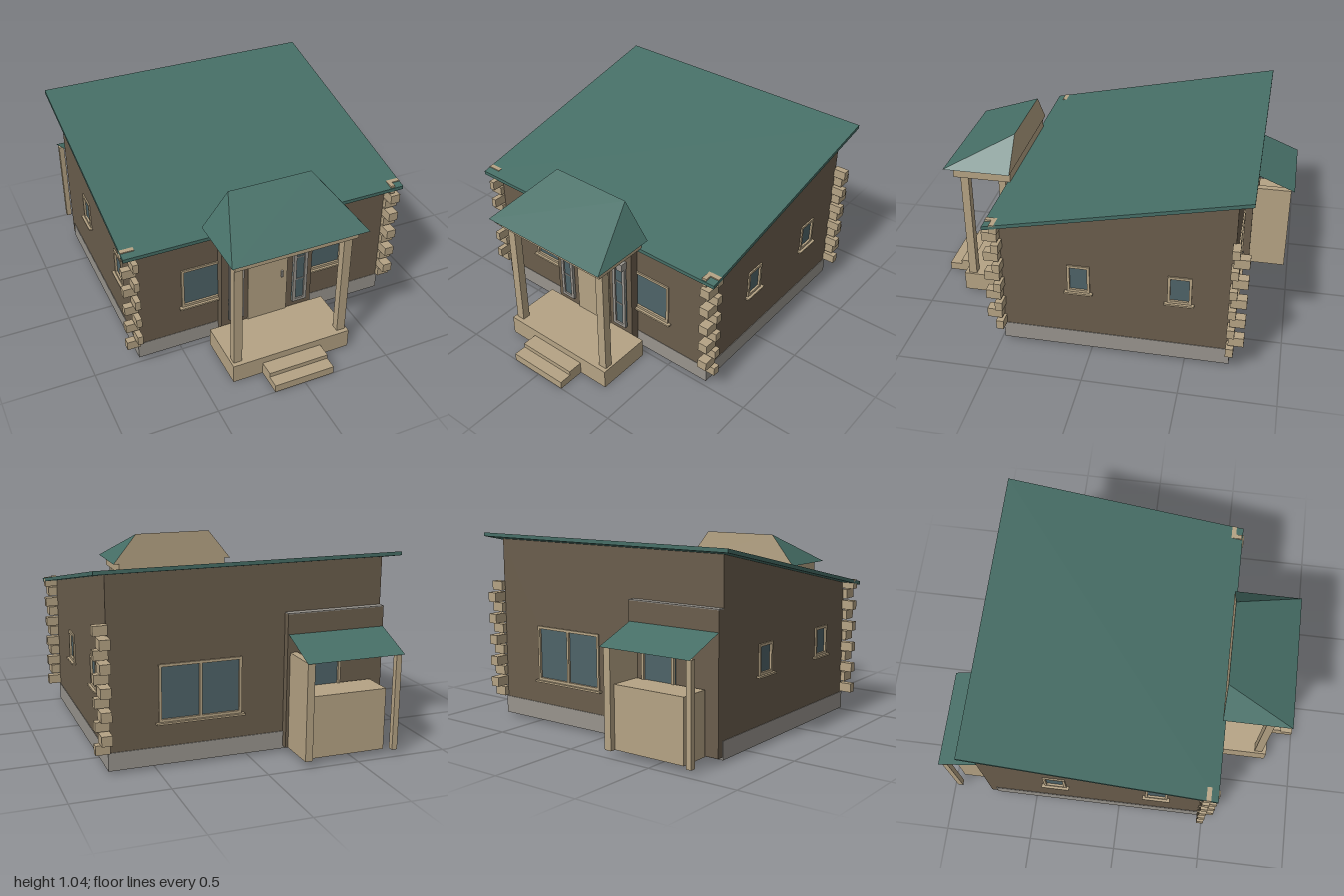
import * as THREE from 'three';

const mat = (name, color, side = THREE.FrontSide) => {
  const m = new THREE.MeshStandardMaterial({ color, side });
  m.name = name;
  return m;
};

export function createModel() {
  const brown = mat('brown wall', 0x6a5d4c);
  const tan = mat('tan timber', 0xb5a384, THREE.DoubleSide);
  const green = mat('green roof', 0x466e66, THREE.DoubleSide);
  const grey = mat('grey stone', 0x98948d);
  const glass = mat('blue glass', 0x4e6368);
  const house = new THREE.Group();
  house.name = 'house';

  const add = (name, geometry, material, parent = house) => {
    const mesh = new THREE.Mesh(geometry, material);
    mesh.name = name;
    parent.add(mesh);
    return mesh;
  };
  // box given by its limits on each axis
  const box = (name, m, x0, x1, y0, y1, z0, z1, parent) => {
    const mesh = add(name, new THREE.BoxGeometry(Math.abs(x1 - x0), y1 - y0, Math.abs(z1 - z0)), m, parent);
    mesh.position.set((x0 + x1) / 2, (y0 + y1) / 2, (z0 + z1) / 2);
    return mesh;
  };
  // flat polygon with corners anticlockwise from outside
  const polygon = (name, m, corners) => {
    const g = new THREE.BufferGeometry();
    const pos = [];
    for (let i = 1; i < corners.length - 1; i++) pos.push(...corners[0], ...corners[i], ...corners[i + 1]);
    g.setAttribute('position', new THREE.Float32BufferAttribute(pos, 3));
    g.computeVertexNormals();
    return add(name, g, m);
  };
  // outline with rectangular holes [a0, a1, y0, y1], extruded
  const slab = (points, holes, depth) => {
    const shape = new THREE.Shape(points.map((p) => new THREE.Vector2(...p)));
    for (const [a, b, c, d] of holes) {
      shape.holes.push(new THREE.Path([[a, c], [a, d], [b, d], [b, c]].map((p) => new THREE.Vector2(...p))));
    }
    return new THREE.ExtrudeGeometry(shape, { depth, bevelEnabled: false });
  };
  // framed window facing +z in its own group
  const windowUnit = (name, [a0, a1, y0, y1], trim, { bar = 0.014, columns = 1, rows = 1, sill = false, out = 0.008 } = {}) => {
    const g = new THREE.Group();
    g.name = name;
    house.add(g);
    box('glass', glass, a0, a1, y0, y1, -0.012, -0.004, g);
    for (const x of [a0, a1 - bar]) box('frameSide', trim, x, x + bar, y0, y1, -0.012, out, g);
    for (const y of [y0, y1 - bar]) box('frameRail', trim, a0 + bar, a1 - bar, y, y + bar, -0.012, out, g);
    for (let i = 1; i < columns; i++) {
      const x = a0 + ((a1 - a0) * i) / columns;
      box('mullion', trim, x - bar / 2, x + bar / 2, y0, y1, -0.012, out, g);
    }
    for (let i = 1; i < rows; i++) {
      const y = y0 + ((y1 - y0) * i) / rows;
      box('glazingBar', trim, a0, a1, y - 0.003, y + 0.003, -0.012, 0, g);
    }
    if (sill) box('sill', trim, a0 - 0.015, a1 + 0.015, y0 - 0.01, y0, -0.005, 0.022, g);
    return g;
  };

  const W = 0.74, F = 0.48, B = -0.73, T = 0.02;
  const roofY = (z) => 0.75 + (0.55 - z) * 0.2126;
  const wallY = (z) => roofY(z) - 0.015;
  const rect = (a, b, c, d) => [[a, c], [b, c], [b, d], [a, d]];

  // Stone base, open below
  for (const s of [-1, 1]) box('foundationSide', grey, s * 0.715, s * 0.743, 0.015, 0.11, B - 0.004, F + 0.002);
  box('foundationFront', grey, -0.715, 0.715, 0.015, 0.11, F - 0.028, F + 0.002);
  box('foundationBack', grey, -0.715, 0.715, 0.015, 0.11, B - 0.004, B + 0.026);

  // Front and back walls with their windows
  const frontHoles = [[-0.485, -0.22, 0.285, 0.53], [0.22, 0.485, 0.285, 0.53]];
  add('frontWall', slab(rect(-W, W, 0.11, wallY(F)), frontHoles, T), brown).position.z = F - T;
  for (const h of frontHoles) windowUnit('frontWindow', h, tan, { sill: true }).position.z = F;
  const backHole = [0.04, 0.48, 0.24, 0.54];
  add('backWall', slab(rect(-W, W, 0.11, wallY(B)), [backHole], T), brown).position.z = B;
  const backWindow = windowUnit('backWindow', [-0.48, -0.04, 0.24, 0.54], tan, { columns: 2, sill: true });
  backWindow.rotation.y = Math.PI;
  backWindow.position.z = B;

  // Sloping side walls, outline drawn along -z
  const sideOutline = [[-F, 0.11], [-B, 0.11], [-B, wallY(B)], [-F, wallY(F)]];
  const sideWindows = { 1: [[-0.125, -0.005], [0.4, 0.525]], '-1': [[-0.28, -0.155], [0.295, 0.42]] };
  for (const s of [-1, 1]) {
    const holes = sideWindows[s].map(([a, b]) => [a, b, 0.37, 0.53]);
    const wall = add('sideWall', slab(sideOutline, holes, T), brown);
    wall.rotation.y = Math.PI / 2;
    wall.position.x = s > 0 ? W - T : -W;
    for (const [a, b, c, d] of holes) {
      const w = windowUnit('sideWindow', s > 0 ? [a, b, c, d] : [-b, -a, c, d], tan, { sill: true });
      w.rotation.y = (s * Math.PI) / 2;
      w.position.x = s * W;
    }
  }

  // Single-pitch main roof
  const zf = 0.545, zb = -0.805;
  const roof = add('mainRoof', slab([[-zf, roofY(zf) - 0.02], [-zb, roofY(zb) - 0.02], [-zb, roofY(zb)], [-zf, roofY(zf)]], [], 1.62), green);
  roof.rotation.y = Math.PI / 2;
  roof.position.x = -0.81;

  // Crossed log ends on three corners
  for (const [sx, sz] of [[1, 1], [-1, 1], [1, -1]]) {
    const corner = sz > 0 ? F : B;
    for (let i = 0; i < 11; i++) {
      const y = 0.115 + i * 0.06;
      if (i % 2 === 0) box('logEndAcross', tan, sx * 0.735, sx * 0.81, y, y + 0.05, corner - sz * 0.015, corner + sz * 0.025);
      else box('logEndAlong', tan, sx * 0.735, sx * (sx > 0 ? 0.79 : 0.765), y, y + 0.052, corner - sz * 0.005, corner + sz * 0.075);
    }
  }
  box('cornerPeg', tan, 0.735, 0.76, 0.715, 0.765, 0.49, 0.54);

  // Entrance bay, door, side lights and lamp
  box('entranceBay', brown, -0.275, 0.27, 0.03, 0.69, F, 0.53);
  box('door', tan, -0.12, 0.115, 0.11, 0.645, 0.53, 0.537);
  box('doorHandle', grey, 0.076, 0.086, 0.352, 0.392, 0.537, 0.55);
  for (const s of [-1, 1]) {
    const light = windowUnit('sideLight', [s * 0.193 - 0.043, s * 0.193 + 0.043, 0.15, 0.605], grey, { bar: 0.018, rows: 3, out: 0.005 });
    light.position.z = 0.543;
  }
  box('wallLamp', grey, 0.2, 0.238, 0.56, 0.605, 0.53, 0.57);

  // Porch deck, open below, with steps
  box('porchDeck', tan, -0.345, 0.345, 0.095, 0.11, 0.53, 0.845);
  box('porchDeckFront', tan, -0.345, 0.345, 0, 0.095, 0.83, 0.845);
  box('porchDeckBack', tan, -0.345, 0.345, 0, 0.095, 0.53, 0.54);
  for (const s of [-1, 1]) {
    box('porchDeckSide', tan, s * 0.33, s * 0.345, 0, 0.095, 0.54, 0.83);
    box('porchPost', tan, s * 0.285, s * 0.333, 0.11, 0.75, 0.775, 0.82);
  }
  box('lowerStep', tan, -0.175, 0.17, 0, 0.045, 0.845, 1);
  box('upperStep', tan, -0.175, 0.17, 0.045, 0.07, 0.845, 0.93);
  box('porchBeam', tan, -0.345, 0.345, 0.75, 0.81, 0.53, 0.855);

  // Hipped porch roof
  const e = 0.81, r = 0.99, hx = 0.38, rx = 0.235, z0 = 0.525, z1 = 0.9;
  polygon('porchRoofFront', green, [[-hx, e, z1], [hx, e, z1], [rx, r, z0], [-rx, r, z0]]);
  polygon('porchRoofLeft', green, [[hx, e, z1], [hx, e, z0], [rx, r, z0]]);
  polygon('porchRoofRight', green, [[-hx, e, z0], [-hx, e, z1], [-rx, r, z0]]);
  polygon('porchRoofSoffit', green, [[-hx, e, z0], [hx, e, z0], [hx, e, z1], [-hx, e, z1]]);
  polygon('porchGable', tan, [[hx, e, z0], [-hx, e, z0], [-rx, r, z0], [rx, r, z0]]);

  // Back bay with stone ledge and window
  box('backBay', brown, -0.74, -0.195, 0.03, 0.745, -0.77, B);
  box('backBayLedge', grey, -0.74, -0.195, 0.745, 0.75, -0.77, B);
  const rear = windowUnit('backBayWindow', [0.29, 0.49, 0.34, 0.53], tan);
  rear.rotation.y = Math.PI;
  rear.position.z = -0.783;

  // Lean-to store behind
  box('storeSidePanel', tan, -0.25, -0.21, 0.03, 0.545, -0.98, -0.77);
  box('storePost', tan, -0.735, -0.705, 0.03, 0.545, -0.98, -0.95);
  box('storeBox', tan, -0.67, -0.25, 0.03, 0.36, -0.95, -0.78);
  polygon('storeRoof', green, [[-0.74, 0.64, -0.77], [-0.2, 0.64, -0.77], [-0.2, 0.547, -1], [-0.74, 0.547, -1]]);

  return house;
}
